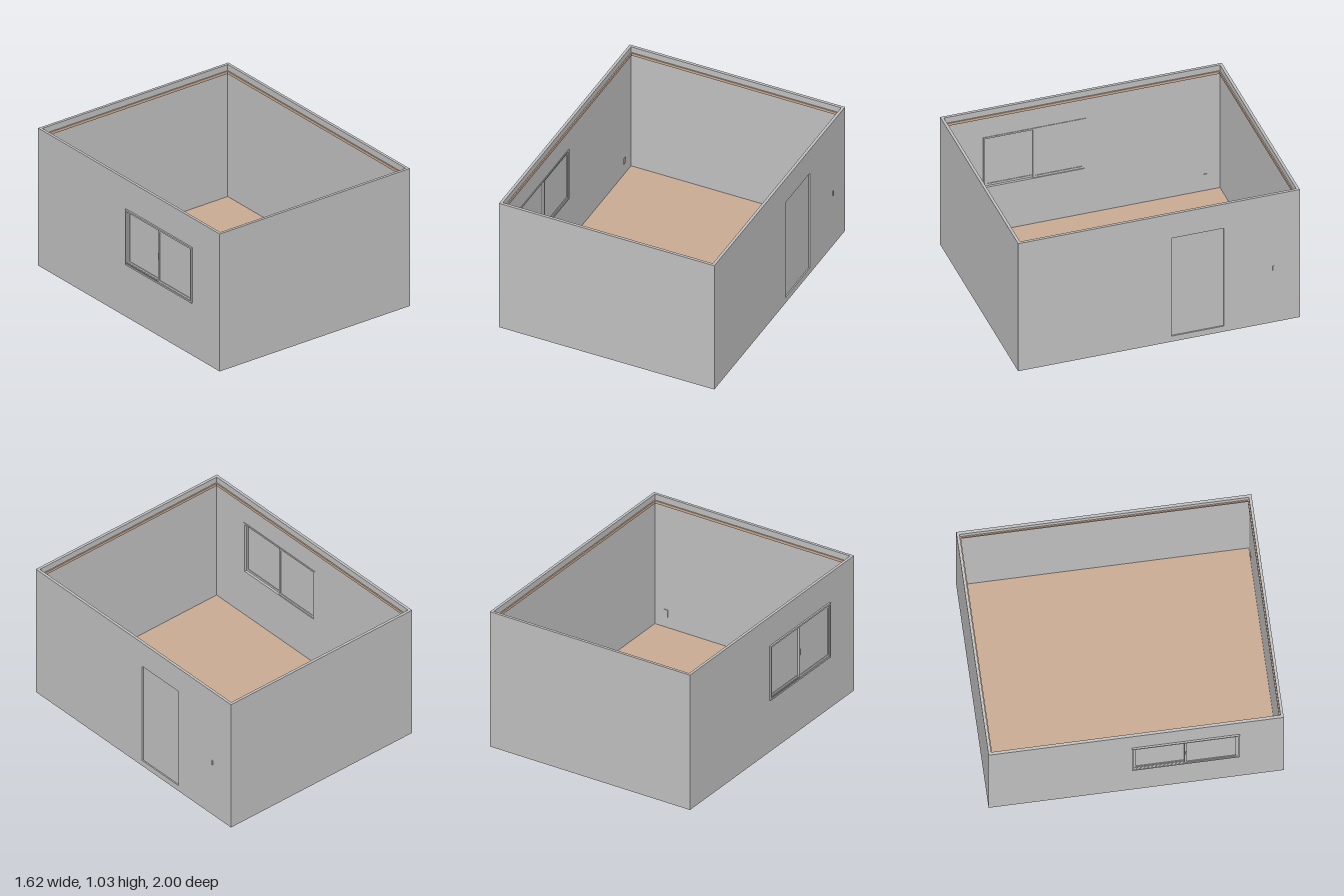
import * as THREE from 'three';

const plaster = new THREE.MeshStandardMaterial({ color: 0xc0c0c0 });
plaster.name = 'plaster grey';
const wood = new THREE.MeshStandardMaterial({ color: 0xcaab92 });
wood.name = 'warm wood';

// Outer limits of the walls and their thickness
const X0 = -0.80, X1 = 0.806, Z = 0.998, H = 1.03, T = 0.02;

function rect(PathType, a0, a1, b0, b1) {
  const p = new PathType();
  p.moveTo(a0, b0);
  p.lineTo(a1, b0);
  p.lineTo(a1, b1);
  p.lineTo(a0, b1);
  p.closePath();
  return p;
}

// Rectangle with an optional rectangular hole, extruded
function plate(outer, hole, depth) {
  const shape = rect(THREE.Shape, ...outer);
  if (hole) shape.holes.push(rect(THREE.Path, ...hole));
  return new THREE.ExtrudeGeometry(shape, { depth, bevelEnabled: false });
}

export function createModel() {
  const room = new THREE.Group();
  room.name = 'room';

  const add = (parent, name, geometry, material = plaster) => {
    const mesh = new THREE.Mesh(geometry, material);
    mesh.name = name;
    parent.add(mesh);
    return mesh;
  };
  const box = (parent, name, x0, x1, y0, y1, z0, z1, material) =>
    add(parent, name, new THREE.BoxGeometry(x1 - x0, y1 - y0, z1 - z0), material)
      .position.set((x0 + x1) / 2, (y0 + y1) / 2, (z0 + z1) / 2);
  // Upright plate in the z-y plane between x0 and x1
  const sidePlate = (parent, name, x0, x1, outer, hole) =>
    add(parent, name, plate(outer, hole, x1 - x0).rotateY(-Math.PI / 2).translate(x1, 0, 0));

  const door = [-0.46, -0.09, 0.045, 0.835];
  const win = [-0.03, 0.70, 0.395, 0.81];
  const inset = ([a0, a1, b0, b1], d) => [a0 + d, a1 - d, b0 + d, b1 - d];

  // Walls
  sidePlate(room, 'leftWall', X1 - T, X1, [-Z, Z, 0, H], door);
  sidePlate(room, 'rightWall', X0, X0 + T, [-Z, Z, 0, H], inset(win, 0.008));
  box(room, 'frontWall', X0 + T, X1 - T, 0, H, Z - T, Z);
  box(room, 'backWall', X0 + T, X1 - T, 0, H, -Z, -Z + T);

  // Floor slab between the walls
  box(room, 'floor', X0 + T, X1 - T, 0.001, 0.04, -Z + T, Z - T, wood);

  // Moulding running round the inside, below the top of the walls
  const [mx0, mx1, mz] = [X0 + T, X1 - T, Z - T];
  add(room, 'moulding',
    plate([mx0, mx1, -mz, mz], [mx0 + 0.008, mx1 - 0.008, -mz + 0.008, mz - 0.008], 0.02)
      .rotateX(-Math.PI / 2).translate(0, 0.965, 0), wood);

  // Door leaf, set back from the outer face
  box(room, 'door', X1 - T, X1 - 0.009, door[2], door[3], door[0], door[1]);

  // Sliding window: outer frame and two overlapping sashes
  const windowGroup = new THREE.Group();
  windowGroup.name = 'window';
  room.add(windowGroup);
  sidePlate(windowGroup, 'windowFrame', -0.812, X0 + T + 0.004, win, inset(win, 0.012));
  const sashes = [
    ['backSash', [-0.018, 0.345, 0.407, 0.798], -0.793],
    ['frontSash', [0.325, 0.688, 0.407, 0.798], -0.805],
  ];
  for (const [name, size, x] of sashes) {
    sidePlate(windowGroup, name, x, x + 0.011, size, inset(size, 0.016));
    const [z0, z1, y0, y1] = inset(size, 0.016);
    box(windowGroup, name + 'Pane', x + 0.004, x + 0.007, y0, y1, z0, z1);
  }
  // Sill rails and the latch
  for (const x of [-0.809, -0.799]) {
    box(windowGroup, 'sillRail', x, x + 0.002, 0.405, 0.412, -0.018, 0.325);
  }
  box(windowGroup, 'latch', -0.81, -0.804, 0.58, 0.62, 0.33, 0.338);

  // Switch by the door and low sockets inside
  box(room, 'outerSwitch', X1, 0.812, 0.42, 0.455, -0.815, -0.804);
  box(room, 'rightSocket', X0 + T, X0 + T + 0.006, 0.13, 0.175, -0.885, -0.86);
  box(room, 'frontSocket', 0.68, 0.71, 0.12, 0.175, Z - T - 0.006, Z - T);

  return room;
}
